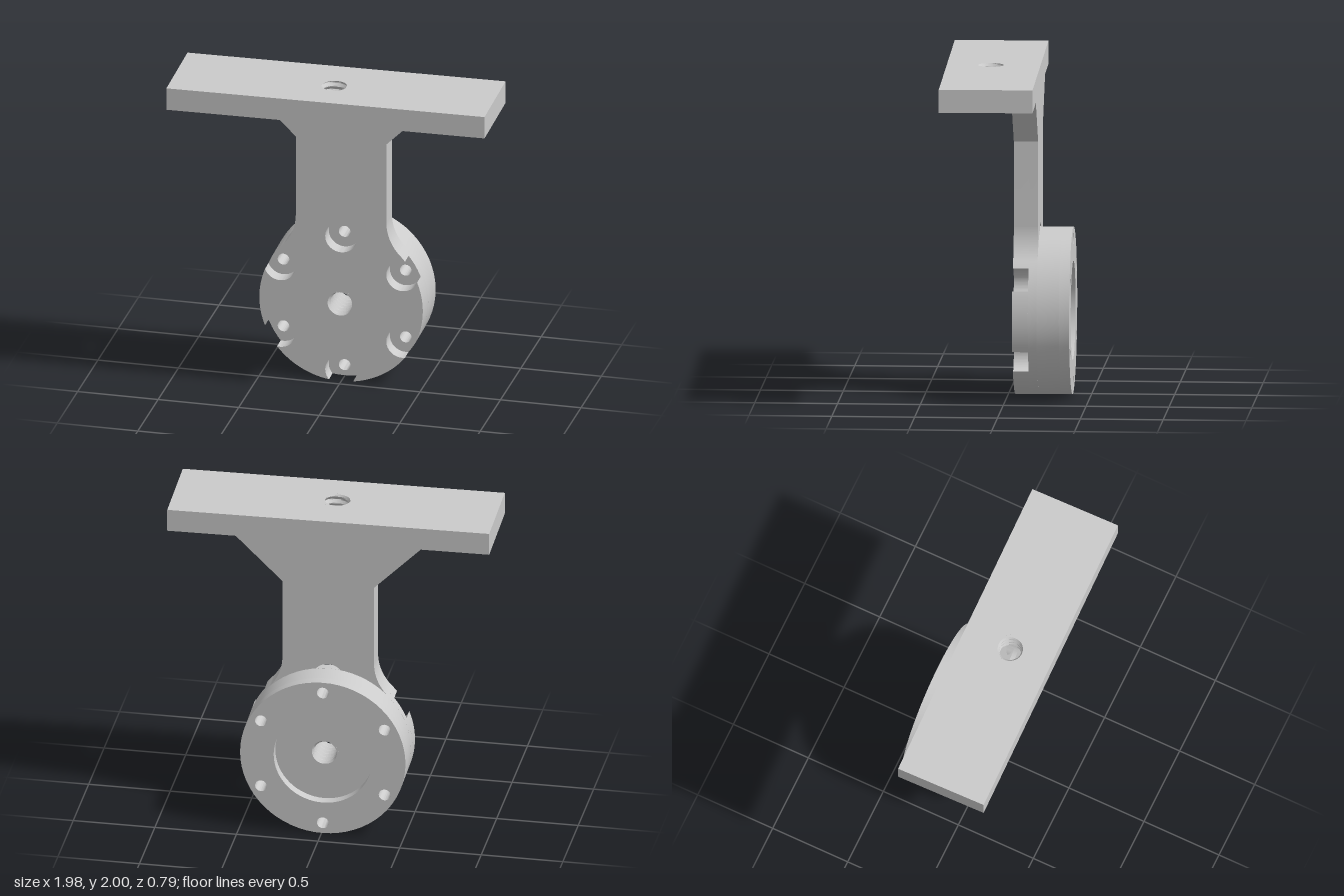
import * as THREE from 'three';
import { toCreasedNormals } from 'three/addons/utils/BufferGeometryUtils.js';

const grey = new THREE.MeshStandardMaterial({ color: 0xcccccc });
const threadGrey = new THREE.MeshStandardMaterial({ color: 0xcccccc, side: THREE.DoubleSide, flatShading: true });

// Main dimensions
const CY = 0.51, R = 0.505;                  // disc centre height and radius
const RING = 0.436, BORE = 0.098, SCREW = 0.036; // bolt circle, counterbore, screw hole
const Z = { front: -0.043, floor: -0.138, armBack: -0.19, recess: -0.325, back: -0.387 };
const MINOR = 0.068, MAJOR = 0.086, PITCH = 0.045; // thread
const ARM = 0.28, FILLET = 0.3, ARM_TOP = 1.86;
const boltAngles = [0, 1, 2, 3, 4, 5].map(i => Math.PI / 6 + i * Math.PI / 3);

// Where a counterbore crosses the disc rim, as angles about the disc and the bore
const rimA = Math.acos((R * R + RING * RING - BORE * BORE) / (2 * R * RING));
const boreA = Math.atan2(R * Math.sin(rimA), R * Math.cos(rimA) - RING);

const boltAt = a => [RING * Math.cos(a), CY + RING * Math.sin(a)];

function circle(x, y, r, Type = THREE.Path) {
  const p = new Type();
  p.absarc(x, y, r, 0, Math.PI * 2, false);
  return p;
}

function mesh(name, geometry, material = grey) {
  const m = new THREE.Mesh(geometry, material);
  m.name = name;
  return m;
}

// Extrudes a shape between two depths
function slab(name, shape, z0, z1) {
  const g = new THREE.ExtrudeGeometry(shape, { depth: z1 - z0, bevelEnabled: false, curveSegments: 32 });
  g.translate(0, 0, z0);
  return mesh(name, toCreasedNormals(g, 0.5));
}

// Flared arm blending into the round base; notched cuts the counterbores through the rim
function armShape(notched) {
  const s = new THREE.Shape();
  const fx = ARM + FILLET;
  const fy = Math.sqrt((R + FILLET) ** 2 - fx * fx);
  const t = Math.atan2(fy, fx);
  s.moveTo(-0.565, ARM_TOP);
  s.lineTo(-ARM, 1.58);
  s.lineTo(-ARM, CY + fy);
  s.absarc(-fx, CY + fy, FILLET, 0, -t, true);
  let from = Math.PI - t;
  if (notched) {
    for (let i = 0; i < 5; i++) {
      const a = Math.PI * (5 / 6 + i / 3);
      s.absarc(0, CY, R, from, a - rimA, false);
      s.absarc(...boltAt(a), BORE, a - boreA, a + boreA, true);
      from = a + rimA;
    }
  }
  s.absarc(0, CY, R, from, 2 * Math.PI + t, false);
  s.absarc(fx, CY + fy, FILLET, Math.PI + t, Math.PI, true);
  s.lineTo(ARM, 1.58);
  s.lineTo(0.565, ARM_TOP);
  s.closePath();
  s.holes.push(circle(0, CY, MAJOR));
  return s;
}

function addScrewHoles(shape) {
  for (const a of boltAngles) shape.holes.push(circle(...boltAt(a), SCREW));
  return shape;
}

// Helical thread lining a hole along z, closed to the hole wall at both ends
function threadGeometry(z0, z1) {
  const around = 48, rows = Math.ceil((z1 - z0) / PITCH * 8);
  const pos = [], index = [];
  for (let j = -1; j <= rows + 1; j++) {
    const end = j < 0 || j > rows;
    const z = z0 + (z1 - z0) * Math.min(Math.max(j / rows, 0), 1);
    for (let i = 0; i <= around; i++) {
      const a = i / around * Math.PI * 2;
      const turn = (z - z1) / PITCH - (a - Math.PI) / (Math.PI * 2);
      const wave = Math.abs(2 * (turn - Math.floor(turn)) - 1);
      const r = end ? MAJOR : MINOR + (MAJOR - 0.002 - MINOR) * wave;
      pos.push(r * Math.cos(a), r * Math.sin(a), z);
    }
  }
  const w = around + 1;
  for (let j = 0; j < rows + 2; j++) {
    for (let i = 0; i < around; i++) {
      const p = j * w + i;
      index.push(p, p + w, p + 1, p + 1, p + w, p + w + 1);
    }
  }
  const g = new THREE.BufferGeometry();
  g.setAttribute('position', new THREE.Float32BufferAttribute(pos, 3));
  g.setIndex(index);
  g.computeVertexNormals();
  return g;
}

export function createModel() {
  const model = new THREE.Group();
  model.name = 'mountingBracket';

  // Front half of the arm, with counterbores
  const front = armShape(true);
  front.holes.push(circle(...boltAt(Math.PI / 2), BORE));
  model.add(slab('armFront', front, Z.floor, Z.front));

  // Rear half of the arm, open where the top counterbore passes the disc
  const rear = addScrewHoles(armShape(false));
  const up = Math.PI / 2, gap = new THREE.Path();
  gap.absarc(...boltAt(up), BORE, up - boreA, up + boreA, false);
  gap.absarc(0, CY, R, up + rimA, up - rimA, true);
  rear.holes.push(gap);
  model.add(slab('armRear', rear, Z.armBack, Z.floor));

  // Round base and its recessed rear rim
  const disc = addScrewHoles(circle(0, CY, R, THREE.Shape));
  disc.holes.push(circle(0, CY, MAJOR));
  model.add(slab('baseDisc', disc, Z.recess, Z.armBack));
  const rim = addScrewHoles(circle(0, CY, R, THREE.Shape));
  rim.holes.push(circle(0, CY, 0.3));
  model.add(slab('baseRim', rim, Z.back, Z.recess));

  const baseThread = mesh('baseThread', threadGeometry(Z.recess, Z.front), threadGrey);
  baseThread.position.y = CY;
  model.add(baseThread);

  // Top plate with its threaded hole
  const plate = new THREE.Shape();
  const px = 0.983, zb = Z.armBack, zf = 0.375, holeZ = 0.11;
  plate.moveTo(-px, zb);
  plate.lineTo(px, zb);
  plate.lineTo(px, zf);
  plate.lineTo(-px, zf);
  plate.closePath();
  plate.holes.push(circle(0, holeZ, MAJOR));
  const topPlate = slab('topPlate', plate, 0, 2 - ARM_TOP);
  topPlate.rotation.x = Math.PI / 2;
  topPlate.position.y = 2;
  model.add(topPlate);

  const plateThread = mesh('plateThread', threadGeometry(0, 2 - ARM_TOP), threadGrey);
  plateThread.rotation.x = -Math.PI / 2;
  plateThread.position.set(0, ARM_TOP, holeZ);
  model.add(plateThread);

  // The bracket sits turned by about one degree
  model.rotation.y = 0.02;
  const root = new THREE.Group();
  root.name = 'bracket';
  root.add(model);
  return root;
}
